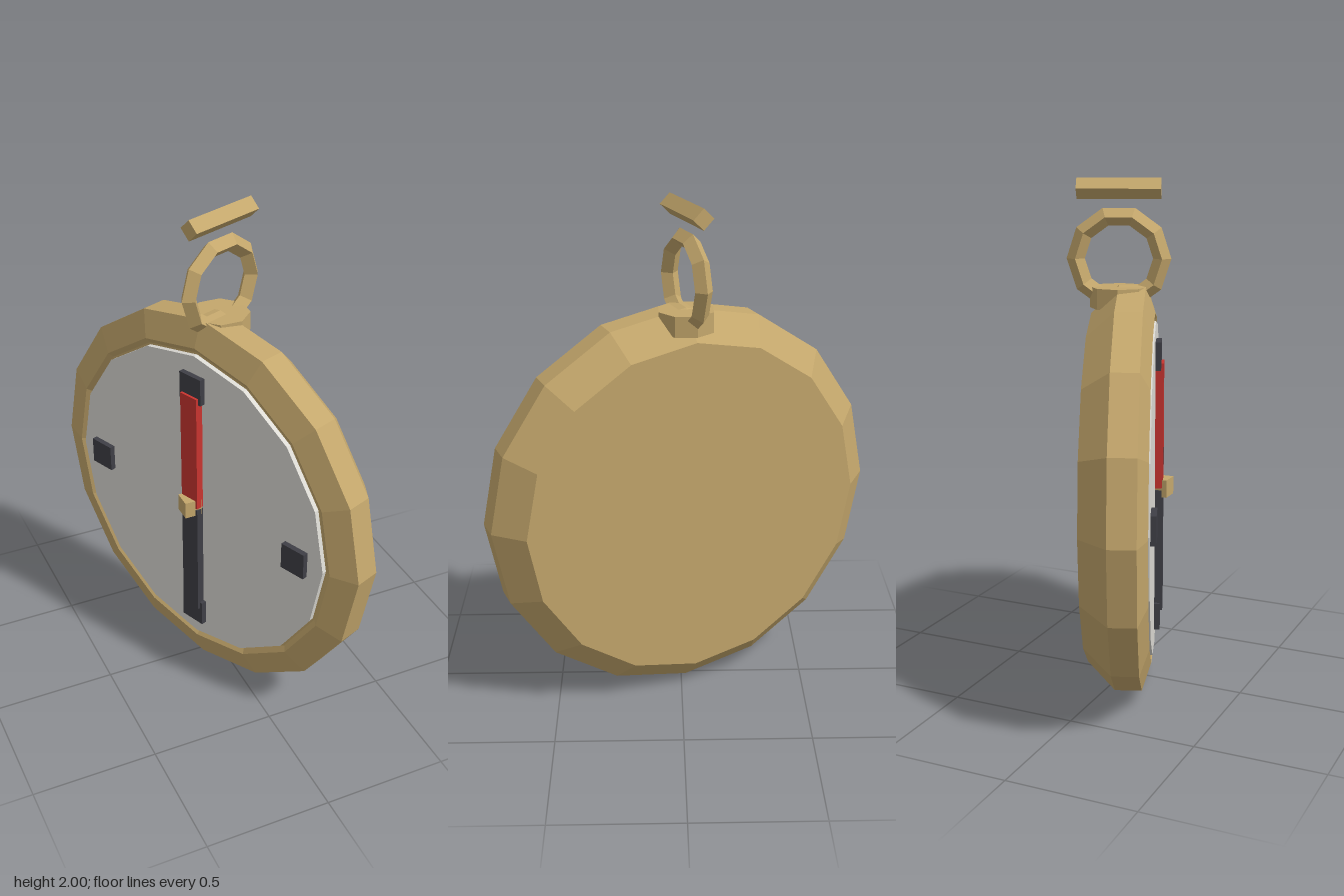
import * as THREE from 'three';

const material = (color) => new THREE.MeshStandardMaterial({ color, flatShading: true });

export function createModel() {
  const brass = material(0xc4a76c);
  const white = material(0xdddbd5);
  const red = material(0xc8342f);
  const dark = material(0x3f3f46);

  const model = new THREE.Group();
  model.name = 'pocketCompass';

  // Everything is built facing local +z, then turned about the vertical axis
  const body = new THREE.Group();
  body.name = 'compassBody';
  body.rotation.y = THREE.MathUtils.degToRad(-68.5);
  body.position.set(-0.004, 0.798, -0.01);
  model.add(body);

  const add = (name, geometry, mat, x = 0, y = 0, z = 0) => {
    const mesh = new THREE.Mesh(geometry, mat);
    mesh.name = name;
    mesh.position.set(x, y, z);
    body.add(mesh);
    return mesh;
  };

  // Case: bevelled round shell with a shallow recess for the dial
  const profile = [
    [0, -0.131], [0.69, -0.131], [0.798, -0.024], [0.798, 0.08],
    [0.69, 0.115], [0.668, 0.1], [0, 0.1],
  ].map(([r, h]) => new THREE.Vector2(r, h));
  add('case', new THREE.LatheGeometry(profile, 16).rotateX(Math.PI / 2), brass);

  // Dial plate
  const dialTop = 0.119;
  add('dial', new THREE.CylinderGeometry(0.66, 0.66, 0.03, 16).rotateX(Math.PI / 2),
    white, 0, 0, dialTop - 0.015);

  // Four direction marks
  for (let i = 0; i < 4; i++) {
    const a = (i * Math.PI) / 2;
    add('directionMark', new THREE.BoxGeometry(0.11, 0.11, 0.022), dark,
      0.53 * Math.cos(a), 0.53 * Math.sin(a), dialTop + 0.011);
  }

  // Needle halves
  const half = new THREE.BoxGeometry(0.085, 0.5, 0.032);
  add('needleNorth', half, red, 0, 0.252, dialTop + 0.016);
  add('needleSouth', half, dark, 0, -0.256, dialTop + 0.016);

  // Pivot block, square to the model's own axes
  const pivot = new THREE.Mesh(new THREE.BoxGeometry(0.07, 0.07, 0.072), brass);
  pivot.name = 'needlePivot';
  pivot.position.set(-0.14, 0.8, 0.04);
  model.add(pivot);

  // Crown, hanging ring and the loose bar above it
  const topZ = -0.024;
  add('crown', new THREE.CylinderGeometry(0.112, 0.112, 0.08, 8), brass, 0, 0.752, topZ);
  add('ring', new THREE.TorusGeometry(0.165, 0.035, 4, 10).rotateY(Math.PI / 2),
    brass, 0, 0.899, topZ);
  add('topBar', new THREE.CylinderGeometry(0.04, 0.04, 0.32, 4).rotateX(Math.PI / 2),
    brass, 0, 1.162, topZ);

  return model;
}
